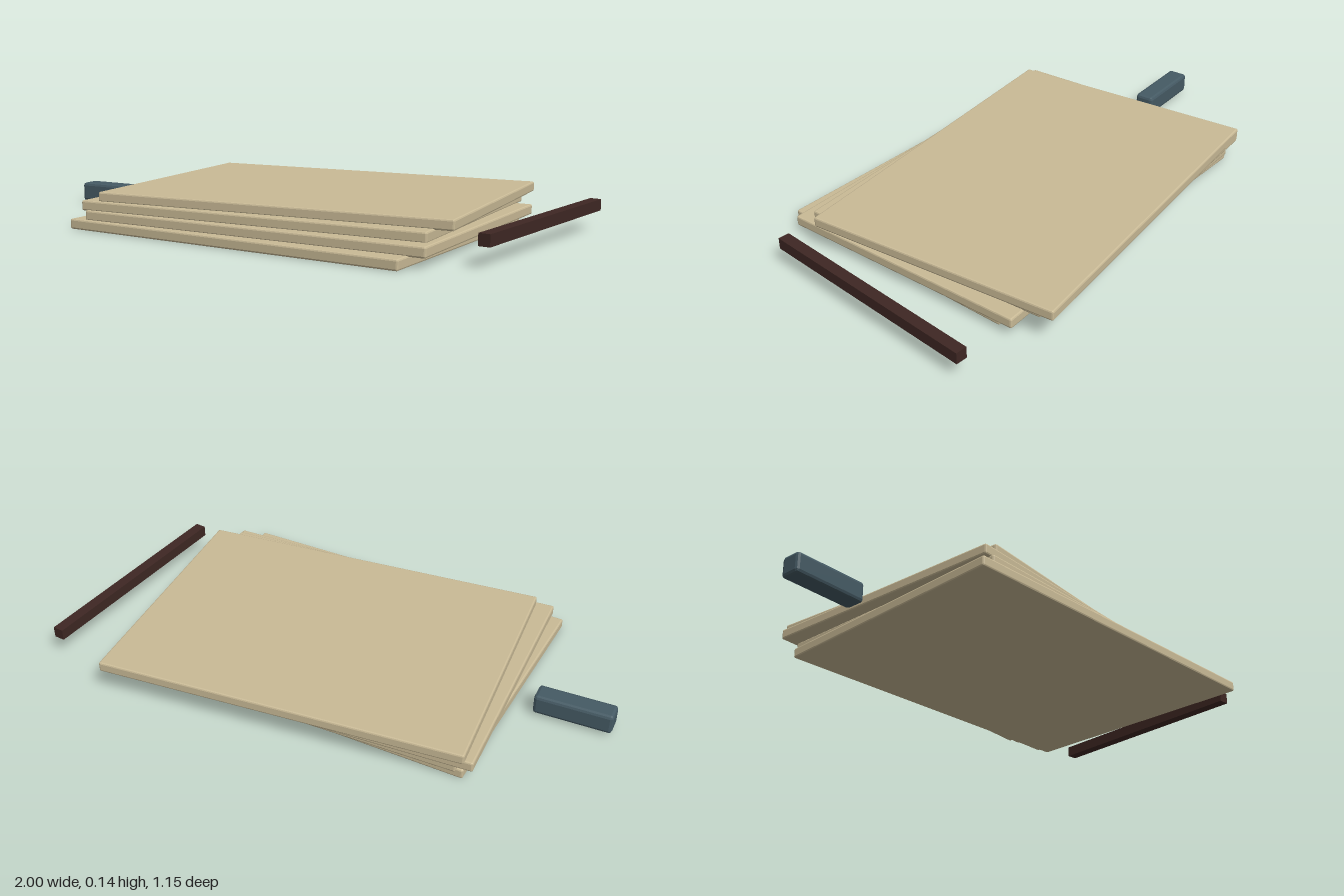
import * as THREE from 'three';
import { RoundedBoxGeometry } from 'three/addons/geometries/RoundedBoxGeometry.js';

const material = (name, color, flatShading = false) => {
  const m = new THREE.MeshStandardMaterial({ color, flatShading });
  m.name = name;
  return m;
};

export function createModel() {
  const group = new THREE.Group();
  group.name = 'sheetStack';

  const paper = material('parchment', 0xc9ba96, true);
  const slate = material('slate', 0x455a64, true);
  const darkWood = material('darkWood', 0x3e2723);

  const add = (name, geometry, mat, x, y, z, turn = 0) => {
    const mesh = new THREE.Mesh(geometry, mat);
    mesh.name = name;
    mesh.position.set(x, y, z);
    mesh.rotation.y = turn;
    group.add(mesh);
  };

  // Four slabs, each fanned a little further round: [x, z, turn]
  const slab = new RoundedBoxGeometry(1.333, 0.037, 0.951, 1, 0.006);
  [
    [0.025, 0.06, -0.06],
    [0.067, 0.02, -0.02],
    [0.024, -0.017, 0.02],
    [0.069, -0.058, 0.06],
  ].forEach(([x, z, turn], i) => add(`sheet${i + 1}`, slab, paper, x, 0.0185 + i * 0.0333, z, turn));

  // Soft-edged block on the right
  add('block', new RoundedBoxGeometry(0.28, 0.074, 0.076, 1, 0.011), slate, -0.86, 0.05, -0.016);

  // Plain stick on the left, set at a slight angle
  add('stick', new THREE.BoxGeometry(0.041, 0.041, 0.855), darkWood, 0.925, 0.089, -0.015, -0.124);

  return group;
}
